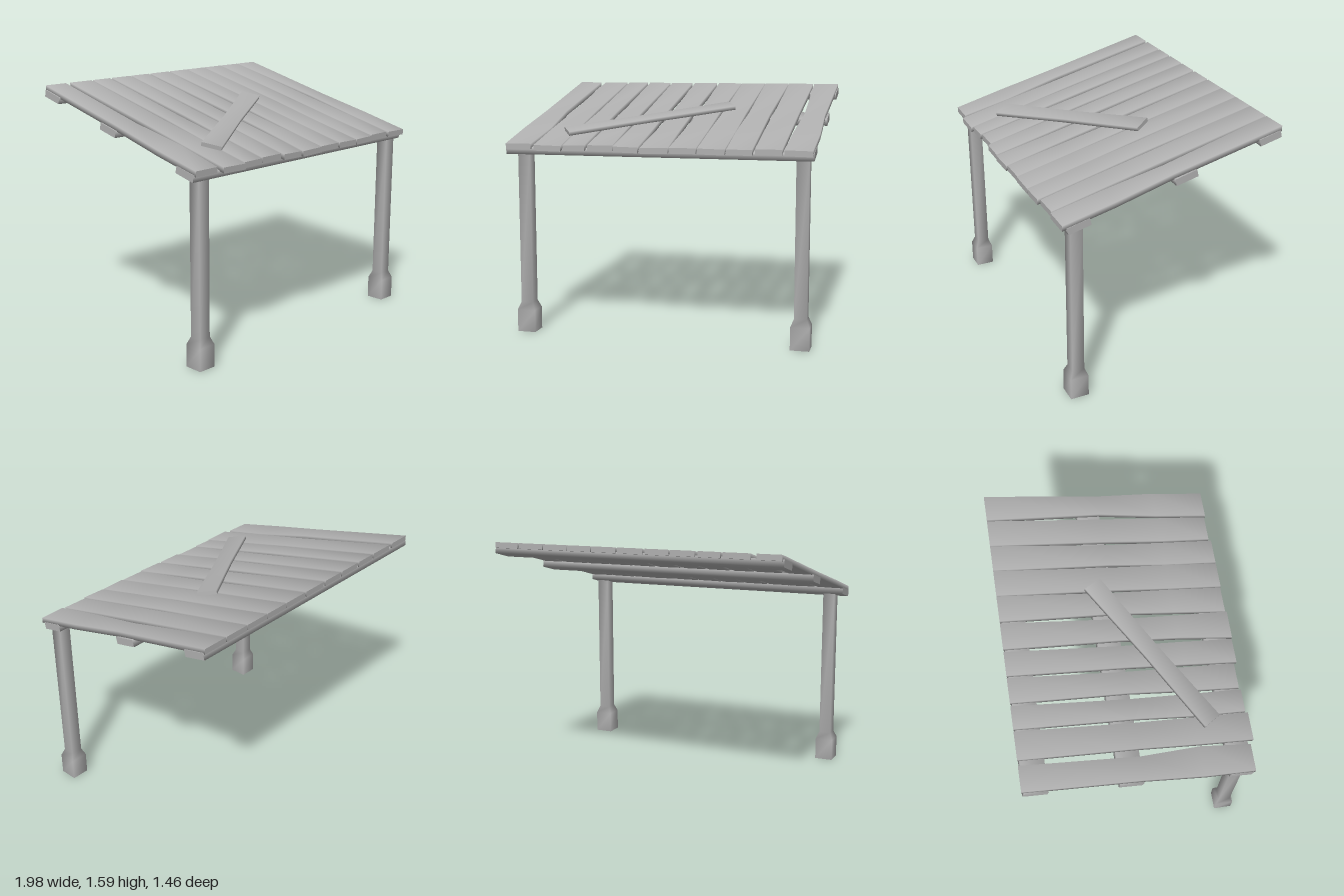
import * as THREE from 'three';

const wood = new THREE.MeshStandardMaterial({ color: 0xb0b0b0 });
wood.name = 'weathered grey wood';

const V = (x, y, z) => new THREE.Vector3(x, y, z);
const SLOPE = 0.245;
// underside of the planks at depth z
const deckY = (z) => 1.38 - SLOPE * z;

// Four-sided timber swept through stations { p, e1, e2, w, h }, where e1 x e2 points along the sweep.
// Sides share vertices so they shade softly; the end caps stay sharp.
function timber(name, stations) {
  const rings = stations.map(({ p, e1, e2, w, h }) =>
    [[-1, -1], [1, -1], [1, 1], [-1, 1]].map(([a, b]) =>
      p.clone().addScaledVector(e1, a * w / 2).addScaledVector(e2, b * h / 2)));
  const points = rings.flat();
  const index = [];
  for (let i = 0; i < rings.length - 1; i++) {
    for (let j = 0; j < 4; j++) {
      const a = i * 4 + j, b = i * 4 + (j + 1) % 4;
      index.push(a, b, b + 4, a, b + 4, a + 4);
    }
  }
  const cap = points.length;
  points.push(...rings[0], ...rings[rings.length - 1]);
  index.push(cap, cap + 2, cap + 1, cap, cap + 3, cap + 2);
  index.push(cap + 4, cap + 5, cap + 6, cap + 4, cap + 6, cap + 7);
  const geometry = new THREE.BufferGeometry().setFromPoints(points);
  geometry.setIndex(index);
  geometry.computeVertexNormals();
  const mesh = new THREE.Mesh(geometry, wood);
  mesh.name = name;
  return mesh;
}

// Post with a wider square foot
function post(name, x) {
  const profile = [[0, 0.12], [0.145, 0.12], [0.195, 0.08], [1.2, 0.08]];
  return timber(name, profile.map(([y, w]) =>
    ({ p: V(x, y, 0.62), e1: V(0, 0, 1), e2: V(1, 0, 0), w, h: w })));
}

// Cross beam lying against the underside of the deck
function beam(name, y, z) {
  const angle = Math.atan(SLOPE), c = Math.cos(angle), s = Math.sin(angle);
  return timber(name, [-0.99, 0.99].map((x) =>
    ({ p: V(x, y, z), e1: V(0, c, s), e2: V(0, -s, c), w: 0.045, h: 0.15 })));
}

// Roof planks: left and right edge at the back, middle, lower middle and front, then front end depth
const PLANKS = [
  [-0.98, -0.82, -0.98, -0.83, -0.99, -0.80, -0.985, -0.815, 0.705],
  [-0.785, -0.61, -0.78, -0.615, -0.785, -0.61, -0.785, -0.605, 0.73],
  [-0.595, -0.45, -0.59, -0.46, -0.60, -0.455, -0.595, -0.45, 0.715],
  [-0.43, -0.27, -0.42, -0.28, -0.43, -0.275, -0.435, -0.27, 0.705],
  [-0.255, -0.10, -0.25, -0.105, -0.255, -0.10, -0.26, -0.10, 0.725],
  [-0.08, 0.09, -0.065, 0.08, -0.07, 0.085, -0.085, 0.095, 0.73],
  [0.105, 0.275, 0.12, 0.265, 0.11, 0.27, 0.10, 0.27, 0.72],
  [0.28, 0.45, 0.285, 0.445, 0.28, 0.45, 0.28, 0.45, 0.725],
  [0.455, 0.625, 0.465, 0.61, 0.455, 0.615, 0.46, 0.62, 0.725],
  [0.63, 0.805, 0.635, 0.80, 0.63, 0.80, 0.635, 0.80, 0.71],
  [0.815, 0.985, 0.84, 0.975, 0.82, 0.99, 0.815, 0.985, 0.72],
];

function plank(row, i) {
  const depths = [-0.73, 0, 0.38, row[8]];
  return timber(`roofPlank${i + 1}`, depths.map((z, k) => {
    const l = row[2 * k], r = row[2 * k + 1];
    // slight alternating warp toward the front end
    const warp = 0.02 * (k / 3) * Math.sin(i * 2.1 + k);
    return {
      p: V((l + r) / 2, deckY(z) + 0.018, z),
      e1: V(1, warp, 0), e2: V(0, 1, 0), w: r - l, h: 0.036,
    };
  }));
}

// Loose board lying diagonally across the planks
function diagonalBoard() {
  const onDeck = (x, z) => V(x, deckY(z) + 0.049, z);
  const a = onDeck(-0.65, 0.485), b = onDeck(0.325, -0.125);
  const along = b.clone().sub(a).normalize();
  const up = V(0, 1, SLOPE).normalize();
  const side = up.clone().cross(along).normalize();
  // a little narrower halfway, with a faint bow
  return timber('diagonalBoard', [[0, 0.128], [0.5, 0.112], [1, 0.128]].map(([t, w]) =>
    ({ p: a.clone().lerp(b, t), e1: side, e2: up, w, h: 0.026 }))
    .map((s) => ({ ...s, e1: s.e1.clone(), e2: s.e2.clone() })));
}

export function createModel() {
  const model = new THREE.Group();
  model.name = 'leanToRoof';

  const posts = new THREE.Group();
  posts.name = 'posts';
  posts.add(post('leftPost', 0.92), post('rightPost', -0.88));

  const beams = new THREE.Group();
  beams.name = 'beams';
  beams.add(
    beam('frontBeam', 1.213, 0.615),
    beam('middleBeam', 1.38, -0.08),
    beam('backBeam', 1.527, -0.652),
  );

  const planks = new THREE.Group();
  planks.name = 'roofPlanks';
  planks.add(...PLANKS.map(plank));

  model.add(posts, beams, planks, diagonalBoard());
  return model;
}
